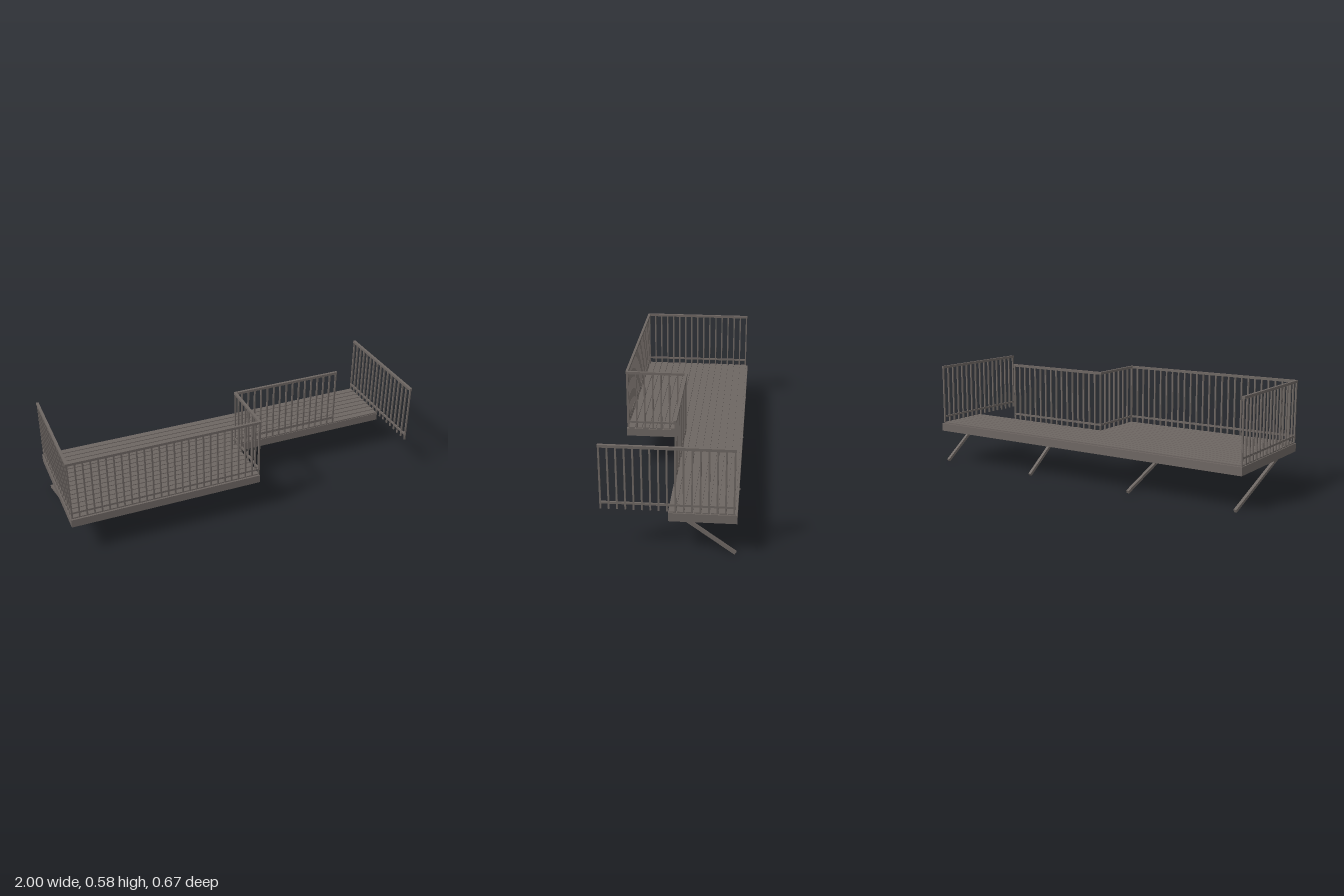
import * as THREE from 'three';

const wood = new THREE.MeshStandardMaterial({ color: 0x6d6662 });
wood.name = 'weathered wood';

const FLOOR = 0.235, BOARD_TOP = 0.242, BASE = 0.19;
const STEP_X = 0.066; // where the wide part of the deck ends

// Box given by its min and max corners
function box(parent, name, [x0, y0, z0], [x1, y1, z1]) {
  const mesh = new THREE.Mesh(new THREE.BoxGeometry(x1 - x0, y1 - y0, z1 - z0), wood);
  mesh.position.set((x0 + x1) / 2, (y0 + y1) / 2, (z0 + z1) / 2);
  mesh.name = name;
  parent.add(mesh);
  return mesh;
}

// Straight railing between two floor points [x, z]
function railing(name, [ax, az], [bx, bz], count) {
  const group = new THREE.Group();
  group.name = name;
  const alongX = az === bz;
  const bar = (part, y0, y1, w) => {
    const ex = alongX ? 0.005 : w / 2, ez = alongX ? w / 2 : 0.005;
    box(group, part, [Math.min(ax, bx) - ex, y0, Math.min(az, bz) - ez],
      [Math.max(ax, bx) + ex, y1, Math.max(az, bz) + ez]);
  };
  bar('topRail', 0.569, 0.583, 0.014);
  bar('bottomRail', 0.27, 0.281, 0.008);
  const h = 0.0042;
  for (let i = 0; i < count; i++) {
    const t = i / (count - 1);
    const x = ax + (bx - ax) * t, z = az + (bz - az) * t;
    box(group, 'baluster', [x - h, BOARD_TOP, z - h], [x + h, 0.575, z + h]);
  }
  return group;
}

// Diagonal brace from the foot below the back edge up to the deck underside
function brace(x, topZ) {
  const foot = new THREE.Vector3(x, 0.008, -0.327);
  const dir = new THREE.Vector3(x, BASE, topZ).sub(foot);
  dir.multiplyScalar((0.222 - foot.y) / dir.y);
  const mesh = new THREE.Mesh(new THREE.BoxGeometry(0.016, dir.length(), 0.016), wood);
  mesh.position.copy(foot).addScaledVector(dir, 0.5);
  mesh.rotation.x = Math.atan2(dir.z, dir.y);
  mesh.name = 'brace';
  return mesh;
}

export function createModel() {
  const model = new THREE.Group();
  model.name = 'deck';

  // L-shaped floor slab
  const floor = new THREE.Group();
  floor.name = 'floor';
  model.add(floor);
  box(floor, 'backSlab', [-0.99, 0.222, -0.325], [0.99, FLOOR - 0.001, 0]);
  box(floor, 'frontSlab', [-0.99, 0.222, 0], [STEP_X, FLOOR - 0.001, 0.325]);

  // Floor boards with narrow grooves between them
  const boards = 16, pitch = 0.65 / boards;
  for (let i = 0; i < boards; i++) {
    const z = -0.325 + i * pitch;
    const end = i < boards / 2 ? 0.995 : STEP_X - 0.004;
    box(floor, 'board', [-0.995, FLOOR - 0.003, z + 0.003], [end, BOARD_TOP, z + pitch - 0.003]);
  }

  // Fascia around the edge
  const fascia = new THREE.Group();
  fascia.name = 'fascia';
  model.add(fascia);
  const t = 0.016;
  box(fascia, 'backFascia', [-1, BASE, -0.333], [1, FLOOR, -0.333 + t]);
  box(fascia, 'frontFascia', [-1, BASE, 0.333 - t], [STEP_X, FLOOR, 0.333]);
  box(fascia, 'rightFascia', [-1, BASE, -0.333 + t], [-1 + t, FLOOR, 0.333 - t]);
  box(fascia, 'leftFascia', [1 - t, BASE, -0.333 + t], [1, FLOOR, 0]);
  box(fascia, 'innerFrontFascia', [STEP_X - t, BASE, -t], [1 - t, FLOOR, 0]);
  box(fascia, 'stepFascia', [STEP_X - t, BASE, 0], [STEP_X, 0.222, 0.333 - t]);

  // Railings
  const rx = 0.0595;
  model.add(
    railing('rightRailing', [-0.992, -0.317], [-0.992, 0.326], 17),
    railing('frontRailing', [-0.992, 0.326], [rx, 0.326], 27),
    railing('stepRailing', [rx, 0.322], [rx, -0.008], 8),
    railing('innerFrontRailing', [rx, -0.008], [0.695, -0.008], 17),
    railing('leftRailing', [0.992, -0.317], [0.992, 0.326], 17),
  );

  // Long braces under the wide part, short ones under the narrow part
  for (const x of [-0.967, -0.335]) model.add(brace(x, 0.179));
  for (const x of [0.33, 0.965]) model.add(brace(x, -0.077));

  return model;
}
